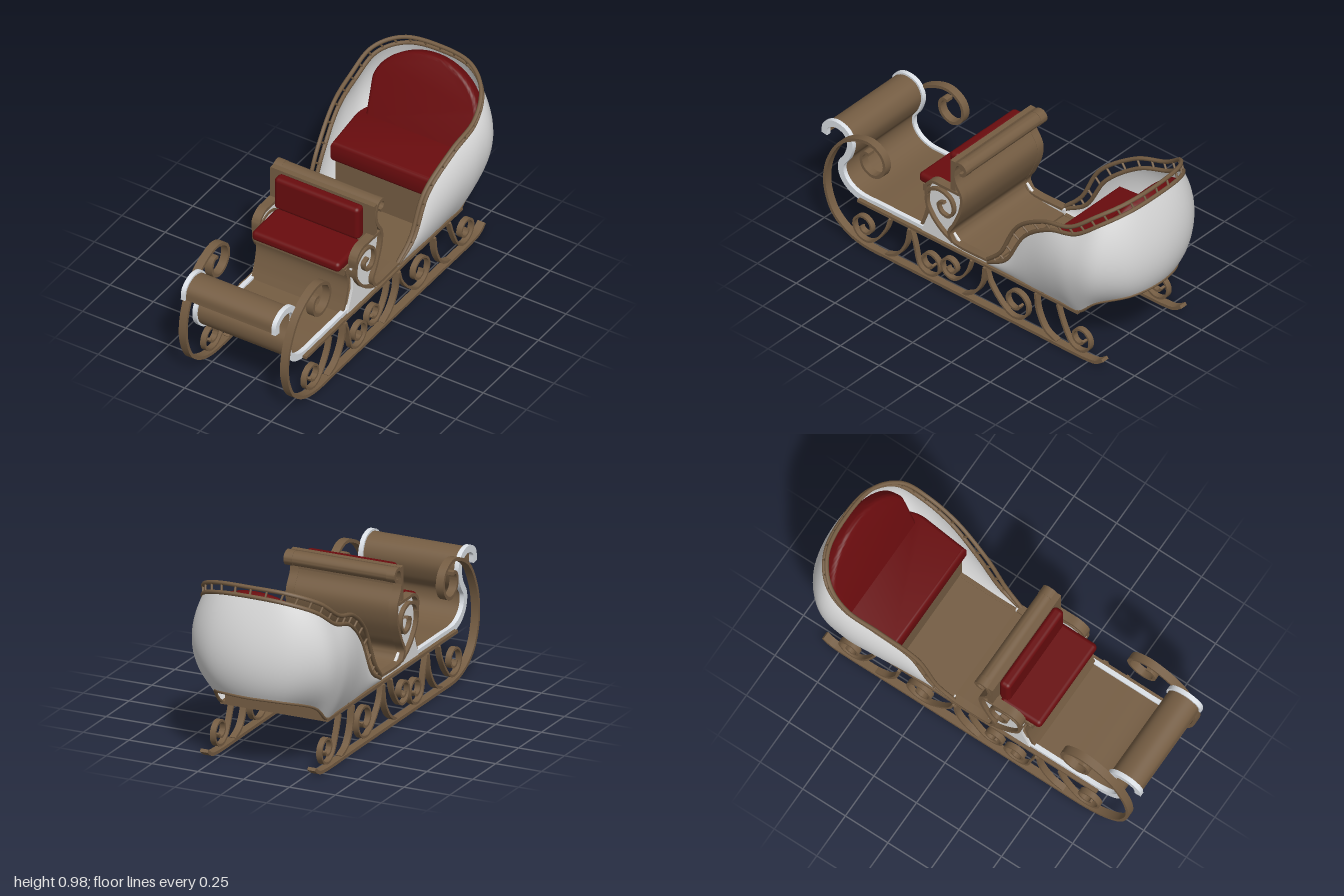
import * as THREE from 'three';
import { toCreasedNormals } from 'three/addons/utils/BufferGeometryUtils.js';
import { RoundedBoxGeometry } from 'three/addons/geometries/RoundedBoxGeometry.js';

const material = (name, color, side = THREE.FrontSide) => {
  const m = new THREE.MeshStandardMaterial({ color, side });
  m.name = name;
  return m;
};

export function createModel() {
  const model = new THREE.Group();
  model.name = 'sleigh';
  const wood = material('brown wood', 0x755d43);
  const white = material('white shell', 0xdcdcdc, THREE.DoubleSide);
  const rimWhite = material('pale rim', 0xe3e8ee);
  const red = material('red upholstery', 0x690c0e);

  const add = (name, geometry, mat) => {
    const mesh = new THREE.Mesh(geometry, mat);
    mesh.name = name;
    model.add(mesh);
    return mesh;
  };
  const box = (name, w, h, d, x, y, z, mat = wood) =>
    add(name, new THREE.BoxGeometry(w, h, d).translate(x, y, z), mat);

  // Extrudes a side-view (z, y) outline across x
  const acrossX = (shape, x, width) => {
    const g = new THREE.ExtrudeGeometry(shape, { depth: width, bevelEnabled: false });
    g.translate(0, 0, -width / 2).rotateY(-Math.PI / 2).translate(x, 0, 0);
    return toCreasedNormals(g, 0.6);
  };
  // Flat band that follows a smooth (z, y) path
  const ribbon = (name, path, thick, width, x, mat = wood, steps = 5) => {
    const curve = new THREE.CatmullRomCurve3(path.map(([z, y]) => new THREE.Vector3(z, y, 0)));
    const n = path.length * steps, near = [], far = [];
    for (let i = 0; i <= n; i++) {
      const p = curve.getPoint(i / n), t = curve.getTangent(i / n);
      near.push(new THREE.Vector2(p.x - t.y * thick / 2, p.y + t.x * thick / 2));
      far.unshift(new THREE.Vector2(p.x + t.y * thick / 2, p.y - t.x * thick / 2));
    }
    return add(name, acrossX(new THREE.Shape([...near, ...far]), x, width), mat);
  };
  const pair = (build) => [1, -1].forEach(build);
  const tube = (name, curve, r, segments = 90) =>
    add(name, new THREE.TubeGeometry(curve, segments, r, 7), wood);

  // Runners with front curls
  const runner = [[.66, .575], [.69, .575], [.71, .537], [.695, .484], [.64, .457], [.587, .479], [.56, .537],
    [.58, .60], [.65, .64], [.73, .63], [.84, .564], [.92, .43], [.945, .307], [.935, .217], [.893, .12],
    [.81, .05], [.70, .014], [.5, .01], [.1, .01], [-.4, .01], [-.74, .01], [-.80, .02], [-.845, .05]];
  const struts = [
    [[.41, .24], [.43, .14], [.49, .05], [.56, .015]],
    [[-.075, .24], [-.06, .14], [-.01, .06], [.06, .015]],
    [[-.405, .24], [-.42, .14], [-.47, .05], [-.54, .015]],
  ];
  // Spiral ironwork: centre z, centre y, radius, direction, tail z
  const scrolls = [[.70, .115, .085, 1, .535], [.28, .10, .08, -1, .40], [.145, .135, .07, 1, .01],
    [-.275, .125, .10, -1, -.085], [-.69, .105, .08, -1, -.545]];
  pair((s) => {
    ribbon('runner', runner, .017, .042, s * .293);
    struts.forEach((p) => ribbon('runnerStrut', p, .014, .034, s * .29));
    scrolls.forEach(([cz, cy, r, dir, tail]) => {
      const path = [];
      for (let i = 0; i <= 12; i++) {
        const t = i / 12, a = 1.2 * Math.PI + (1 - t) * 2.7 * Math.PI, q = r * (.3 + .7 * t);
        path.push([cz + dir * q * Math.cos(a), cy + q * Math.sin(a)]);
      }
      path.push([tail + dir * .025, .165], [tail, .24]);
      ribbon('runnerScroll', path, .012, .03, s * .29, wood, 3);
    });
  });

  // Deck
  box('deck', .54, .014, 1.42, 0, .244, .04);
  pair((s) => box('deckEdge', .03, .016, 1.42, s * .28, .245, .04));

  // Curled dash with pale rims that run on as sills
  const dash = [[.98, .53], [.972, .585], [.915, .617], [.845, .60], [.815, .54], [.835, .46], [.872, .40],
    [.868, .34], [.83, .29], [.76, .259], [.6, .256], [.3, .256]];
  ribbon('dashPanel', dash, .014, .5, 0);
  pair((s) => ribbon('dashRim', dash, .036, .024, s * .262, rimWhite));

  // Front seat: rolled back sheet, side panels and scroll trims
  const back = [[.085, .725], [.06, .73], [.047, .757], [.068, .783], [.103, .778], [.123, .735], [.118, .67],
    [.075, .59], [.08, .51], [.12, .41], [.155, .34], [.13, .29], [.05, .265], [-.1, .256]];
  ribbon('frontSeatBack', back, .014, .54, 0);
  add('backRoll', new THREE.CylinderGeometry(.026, .026, .56, 20).rotateZ(Math.PI / 2).translate(0, .755, .082), wood);
  const side = [[.35, .25], [.30, .38], [.31, .5], [.27, .59], [.14, .59], [.08, .56], [.085, .50], [.12, .41],
    [.155, .34], [.10, .29], [-.10, .285], [-.10, .25]];
  const scrollTrim = [[-.09, .288], [.1, .288], [.17, .31], [.25, .37], [.30, .45], [.29, .53], [.22, .565],
    [.15, .54], [.13, .48], [.16, .43], [.21, .44], [.225, .485], [.19, .50]];
  pair((s) => {
    add('frontSeatSide', acrossX(new THREE.Shape(side.map((p) => new THREE.Vector2(...p))), s * .272, .014), white);
    ribbon('sideScrollTrim', scrollTrim, .014, .042, s * .28);
    ribbon('armTrim', [[.30, .50], [.30, .56], [.26, .597], [.19, .60], [.09, .60]], .016, .046, s * .28);
    ribbon('backTrim', back.slice(0, 12), .017, .046, s * .28);
    box('backPost', .05, .19, .03, s * .275, .69, .13);
  });
  box('frontBackBoard', .56, .19, .03, 0, .69, .13);
  ribbon('frontSeatRiser', [[.37, .25], [.34, .33], [.32, .43], [.34, .51]], .016, .53, 0);
  box('frontSeatBase', .52, .04, .24, 0, .50, .235);
  add('frontSeatCushion', new RoundedBoxGeometry(.51, .055, .24, 4, .022).translate(0, .54, .273), red);
  add('frontBackCushion', new RoundedBoxGeometry(.49, .19, .062, 4, .022).translate(0, .683, .173), red);

  // Rear body: three half-curves, mirrored around the back
  const around = (pts) => {
    const half = pts.map((p) => new THREE.Vector3(...p));
    const other = half.slice(0, -1).reverse().map((p) => new THREE.Vector3(-p.x, p.y, p.z));
    return new THREE.CatmullRomCurve3([...half, ...other], false, 'catmullrom', .5);
  };
  const bottom = around([[.28, .25, -.08], [.28, .25, -.22], [.285, .25, -.38], [.285, .25, -.55], [.285, .252, -.67],
    [.27, .34, -.77], [.17, .395, -.91], [0, .405, -.95]]);
  const middle = around([[.29, .262, -.085], [.30, .305, -.22], [.33, .41, -.36], [.37, .49, -.54], [.385, .53, -.69],
    [.36, .58, -.84], [.22, .62, -.96], [0, .63, -1]]);
  const topPts = [[.29, .275, -.09], [.30, .36, -.22], [.305, .56, -.34], [.335, .70, -.52], [.345, .765, -.70],
    [.305, .86, -.83], [.18, .915, -.915], [0, .928, -.935]];
  const top = around(topPts);
  const U = 84, V = 18, pos = [], idx = [];
  for (let j = 0; j <= V; j++) for (let i = 0; i <= U; i++) {
    const v = j / V, u = i / U;
    const p = bottom.getPoint(u).multiplyScalar((1 - v) * (1 - 2 * v))
      .addScaledVector(middle.getPoint(u), 4 * v * (1 - v))
      .addScaledVector(top.getPoint(u), v * (2 * v - 1));
    pos.push(p.x, p.y, p.z);
    if (i < U && j < V) {
      const a = j * (U + 1) + i, b = a + U + 1;
      idx.push(a, a + 1, b, a + 1, b + 1, b);
    }
  }
  const shell = new THREE.BufferGeometry();
  shell.setAttribute('position', new THREE.Float32BufferAttribute(pos, 3));
  shell.setIndex(idx);
  shell.computeVertexNormals();
  add('rearBody', shell, white);
  tube('bodyLowerTrim', bottom, .008);

  // Double rail with short spindles
  const lift = [[0, .008, .01], [.004, .03, .035], [.006, .035, .045], [.008, .04, .03], [.01, .038, .025],
    [.01, .04, .025], [.01, .042, .02], [0, .04, .018]];
  const upper = around(topPts.map((p, i) => p.map((c, k) => c + lift[i][k])));
  tube('lowerRail', top, .011, 120);
  tube('upperRail', upper, .011, 120);
  for (let i = 1; i < 32; i++) {
    const u = i / 32;
    tube('railSpindle', new THREE.LineCurve3(top.getPoint(u), upper.getPoint(u)), .006, 1);
  }

  // Rear seat
  box('rearSeatRiser', .58, .22, .016, 0, .355, -.44);
  box('rearSeatEnd', .53, .11, .016, 0, .30, -.665);
  const plan = new THREE.Shape();
  plan.moveTo(-.29, .44).lineTo(.29, .44).lineTo(.315, .68);
  plan.bezierCurveTo(.32, .80, .2, .89, 0, .89).bezierCurveTo(-.2, .89, -.32, .80, -.315, .68);
  const cushion = new THREE.ExtrudeGeometry(plan, { depth: .06, bevelSize: .022, bevelThickness: .03, bevelSegments: 5, curveSegments: 20 });
  cushion.rotateX(-Math.PI / 2).translate(0, .48, 0);
  add('rearSeatCushion', toCreasedNormals(cushion, .7), red);
  const rest = new THREE.Shape();
  rest.moveTo(-.27, 0).lineTo(.27, 0).lineTo(.285, .2);
  rest.bezierCurveTo(.27, .30, .15, .395, 0, .395).bezierCurveTo(-.15, .395, -.27, .30, -.285, .2);
  const backrest = new THREE.ExtrudeGeometry(rest, { depth: .03, bevelSize: .02, bevelThickness: .025, bevelSegments: 5, curveSegments: 20 });
  backrest.rotateX(-.42).translate(0, .54, -.745);
  add('rearBackrest', toCreasedNormals(backrest, .7), red);

  return model;
}
